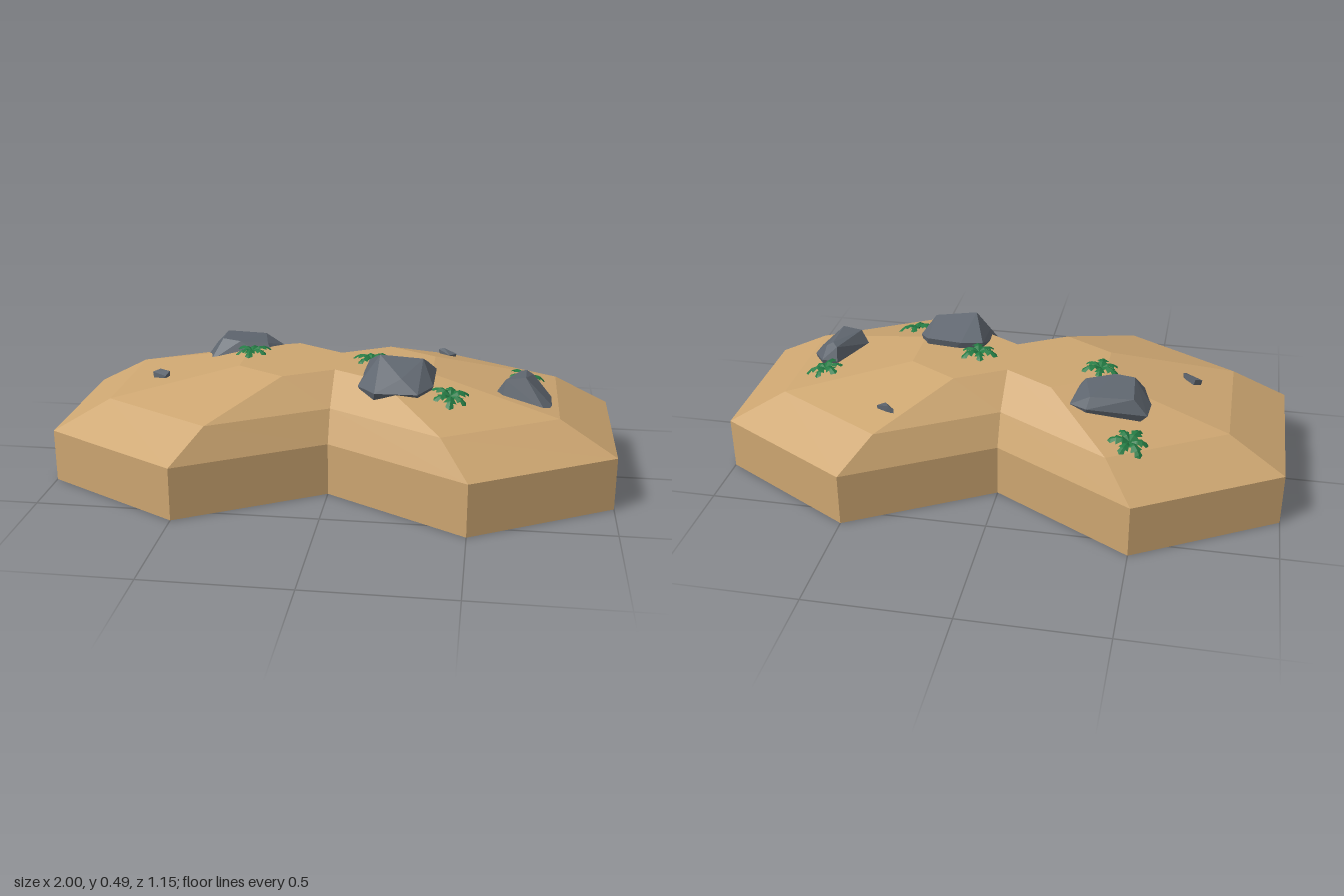
import * as THREE from 'three';
import { ConvexGeometry } from 'three/addons/geometries/ConvexGeometry.js';

const sand = new THREE.MeshStandardMaterial({ color: 0xcda671, side: THREE.DoubleSide });
sand.name = 'sand';
const stone = new THREE.MeshStandardMaterial({ color: 0x5f666f });
stone.name = 'stone';
const leafGreen = new THREE.MeshStandardMaterial({ color: 0x237a43, side: THREE.DoubleSide });
leafGreen.name = 'leafGreen';

// Two joined hexagons seen from above, as [x, z]
const OUTLINE = [
  [1, -0.289], [1, 0.289], [0.5, 0.577], [0, 0.289], [-0.5, 0.577],
  [-1, 0.289], [-1, -0.289], [-0.5, -0.577], [0, -0.289], [0.5, -0.577],
];
// Mound levels as [scale of the outline, height]
const LEVELS = [[1, 0], [1, 0.19], [0.8, 0.303], [0.35, 0.405]];

function flatGeometry(positions) {
  const g = new THREE.BufferGeometry();
  g.setAttribute('position', new THREE.Float32BufferAttribute(positions, 3));
  g.computeVertexNormals();
  return g;
}

function addMesh(parent, name, geometry, material) {
  const mesh = new THREE.Mesh(geometry, material);
  mesh.name = name;
  parent.add(mesh);
  return mesh;
}

// Hollow mound, open underneath
function moundGeometry() {
  const pos = [];
  const n = OUTLINE.length;
  const point = (level, i) => {
    const [s, y] = LEVELS[level];
    const [x, z] = OUTLINE[i % n];
    return [x * s, y, z * s];
  };
  for (let i = 0; i < n; i++) {
    for (let l = 0; l < LEVELS.length - 1; l++) {
      const a = point(l, i), b = point(l, i + 1), c = point(l + 1, i + 1), d = point(l + 1, i);
      pos.push(...a, ...c, ...b, ...a, ...d, ...c);
    }
    const top = LEVELS.length - 1;
    pos.push(0, LEVELS[top][1], 0, ...point(top, i + 1), ...point(top, i));
  }
  return flatGeometry(pos);
}

// Height of the mound at a spot, for seating the plants
function groundHeight(x, z) {
  const u = Math.abs(x), v = Math.abs(z);
  const s = v > 1.155 * u ? (0.866 * v - 0.5 * u) / 0.25 : Math.max(u, (0.5 * u + 0.866 * v) / 0.75);
  for (let l = LEVELS.length - 1; l > 1; l--) {
    const [s0, y0] = LEVELS[l], [s1, y1] = LEVELS[l - 1];
    if (s <= s0) return y0;
    if (s <= s1) return y0 + (y1 - y0) * (s - s0) / (s1 - s0);
  }
  return LEVELS[1][1];
}

function groundNormal(x, z) {
  const e = 0.03;
  return new THREE.Vector3(
    groundHeight(x - e, z) - groundHeight(x + e, z), 2 * e,
    groundHeight(x, z - e) - groundHeight(x, z + e)).normalize();
}

// Arched, notched frond with a raised midrib, pointing along +x
function frondGeometry() {
  const stations = [[0, 0.006], [0.32, 0.019], [0.38, 0.011], [0.62, 0.021], [0.68, 0.01], [0.86, 0.014], [1, 0]];
  const pos = [];
  const section = ([t, w]) => {
    const x = t * 0.072, y = 0.012 + 0.065 * t * (0.9 - t);
    return { mid: [x, y, 0], left: [x, y - w * 0.45, -w], right: [x, y - w * 0.45, w] };
  };
  for (let i = 0; i < stations.length - 1; i++) {
    const a = section(stations[i]), b = section(stations[i + 1]);
    pos.push(...a.mid, ...b.mid, ...b.left, ...a.mid, ...b.left, ...a.left);
    pos.push(...a.mid, ...b.right, ...b.mid, ...a.mid, ...a.right, ...b.right);
  }
  return flatGeometry(pos);
}

// Rocks given by their corners; each sinks into the mound
const ROCKS = {
  backRock: [
    [-0.47, 0.425, -0.27], [-0.32, 0.42, -0.27], [-0.46, 0.435, -0.13], [-0.39, 0.432, -0.11], [-0.29, 0.42, -0.14],
    [-0.52, 0.37, -0.28], [-0.31, 0.38, -0.29], [-0.25, 0.38, -0.26], [-0.235, 0.37, -0.19], [-0.25, 0.36, -0.09],
    [-0.5, 0.36, -0.075], [-0.525, 0.36, -0.18], [-0.45, 0.28, -0.24], [-0.3, 0.28, -0.24], [-0.32, 0.27, -0.12], [-0.46, 0.28, -0.12],
  ],
  frontRock: [
    [0.17, 0.49, 0.17], [0.32, 0.475, 0.15], [0.12, 0.43, 0.04], [0.2, 0.43, 0.025], [0.33, 0.43, 0.04],
    [0.365, 0.42, 0.09], [0.36, 0.39, 0.2], [0.31, 0.38, 0.27], [0.25, 0.425, 0.235], [0.16, 0.38, 0.275],
    [0.12, 0.42, 0.18], [0.095, 0.38, 0.2], [0.1, 0.385, 0.15],
    [0.15, 0.29, 0.07], [0.32, 0.29, 0.07], [0.31, 0.28, 0.22], [0.15, 0.28, 0.22],
  ],
  sideRock: [
    [0.61, 0.4, 0.12], [0.68, 0.41, 0.12], [0.685, 0.4, 0.0], [0.665, 0.39, -0.02], [0.71, 0.385, 0.0],
    [0.66, 0.34, -0.04], [0.72, 0.34, -0.035], [0.775, 0.32, 0.05], [0.775, 0.315, 0.13], [0.755, 0.3, 0.17],
    [0.6, 0.33, 0.145], [0.58, 0.35, 0.11], [0.62, 0.24, 0.0], [0.72, 0.22, 0.0], [0.72, 0.22, 0.12], [0.62, 0.24, 0.12],
  ],
  backPebble: [
    [0.35, 0.352, -0.365], [0.37, 0.36, -0.36], [0.42, 0.345, -0.335], [0.395, 0.345, -0.31],
    [0.36, 0.29, -0.36], [0.41, 0.29, -0.34], [0.39, 0.29, -0.31],
  ],
  sidePebble: [
    [-0.69, 0.35, 0.05], [-0.665, 0.358, 0.035], [-0.62, 0.362, 0.07], [-0.63, 0.35, 0.095],
    [-0.68, 0.3, 0.06], [-0.65, 0.29, 0.04], [-0.62, 0.29, 0.08],
  ],
};

// Plants as [x, z, turn]
const PLANTS = [
  [-0.47, -0.38, 0.1], [-0.33, -0.045, 0.5], [0.125, -0.005, 0.8], [0.685, -0.095, 0.3], [0.42, 0.235, 0.55],
];

export function createModel() {
  const model = new THREE.Group();
  model.name = 'sandMound';
  addMesh(model, 'mound', moundGeometry(), sand);

  for (const [name, corners] of Object.entries(ROCKS)) {
    addMesh(model, name, new ConvexGeometry(corners.map((c) => new THREE.Vector3(...c))), stone);
  }

  const frond = frondGeometry();
  const up = new THREE.Vector3(0, 1, 0);
  for (const [x, z, turn] of PLANTS) {
    const plant = new THREE.Group();
    plant.name = 'plant';
    plant.position.set(x, groundHeight(x, z), z);
    plant.quaternion.setFromUnitVectors(up, groundNormal(x, z));
    for (let i = 0; i < 6; i++) {
      const leaf = addMesh(plant, 'frond', frond, leafGreen);
      leaf.rotation.y = turn + i * Math.PI / 3;
      leaf.scale.setScalar(i % 2 ? 0.92 : 1.05);
    }
    model.add(plant);
  }
  return model;
}
